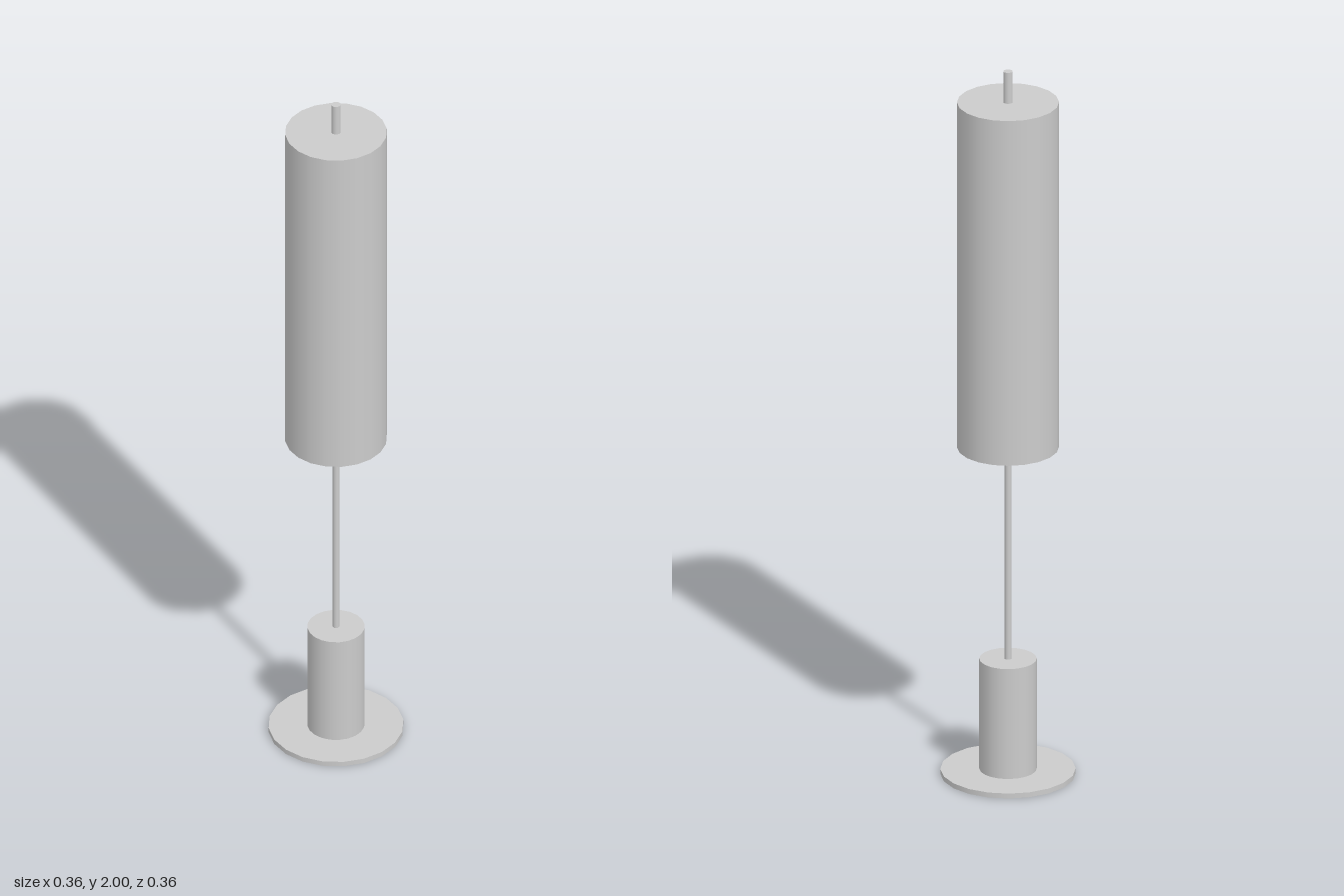
import * as THREE from 'three';

export function createModel() {
  const group = new THREE.Group();
  const material = new THREE.MeshStandardMaterial({ color: 0xcccccc });

  // Upright 20-sided cylinder spanning two heights
  function addCylinder(name, radius, bottom, top) {
    const geometry = new THREE.CylinderGeometry(radius, radius, top - bottom, 20);
    const mesh = new THREE.Mesh(geometry, material);
    mesh.name = name;
    mesh.position.y = (bottom + top) / 2;
    group.add(mesh);
  }

  addCylinder('baseDisc', 0.179, 0, 0.014);
  addCylinder('basePost', 0.076, 0.014, 0.327);
  addCylinder('stem', 0.009, 0.327, 0.93);
  addCylinder('shade', 0.135, 0.93, 1.912);
  addCylinder('topPin', 0.0125, 1.912, 2);

  return group;
}
